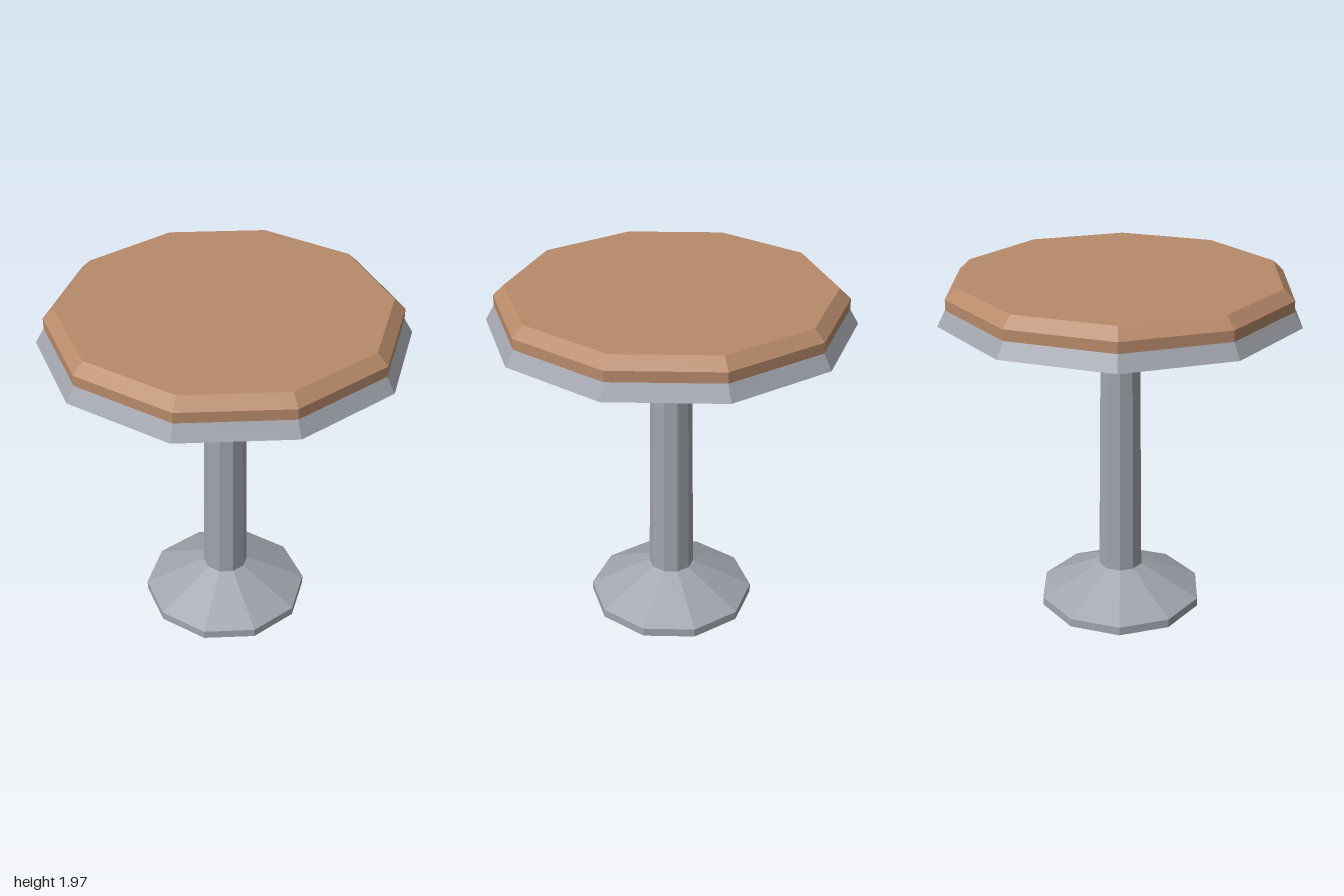
import * as THREE from 'three';

const SIDES = 10;

// Flat-faced ten-sided turning of a [radius, height] profile, corners on the x axis.
function turned(name, profile, material) {
  const points = profile.map(([r, y]) => new THREE.Vector2(r, y));
  const geometry = new THREE.LatheGeometry(points, SIDES, Math.PI / 2).toNonIndexed();
  geometry.computeVertexNormals();
  const mesh = new THREE.Mesh(geometry, material);
  mesh.name = name;
  return mesh;
}

export function createModel() {
  const metal = new THREE.MeshStandardMaterial({ color: 0xa2a5ae, side: THREE.DoubleSide });
  metal.name = 'grey metal';
  const leather = new THREE.MeshStandardMaterial({ color: 0xb78a6a });
  leather.name = 'brown cushion';

  const stool = new THREE.Group();
  stool.name = 'stool';
  stool.add(
    // hollow foot, open underneath
    turned('base', [[0.476, 0], [0.476, 0.05], [0.13, 0.222]], metal),
    // slightly tapering tube
    turned('pole', [[0.13, 0.222], [0.112, 1.772]], metal),
    // closed underside and sloping skirt
    turned('seatRim', [[0, 1.772], [1, 1.772], [0.952, 1.855]], metal),
    // padded top with bevelled edge
    turned('cushion', [[0.952, 1.855], [0.952, 1.914], [0.89, 1.973], [0, 1.973]], leather),
  );
  return stool;
}
